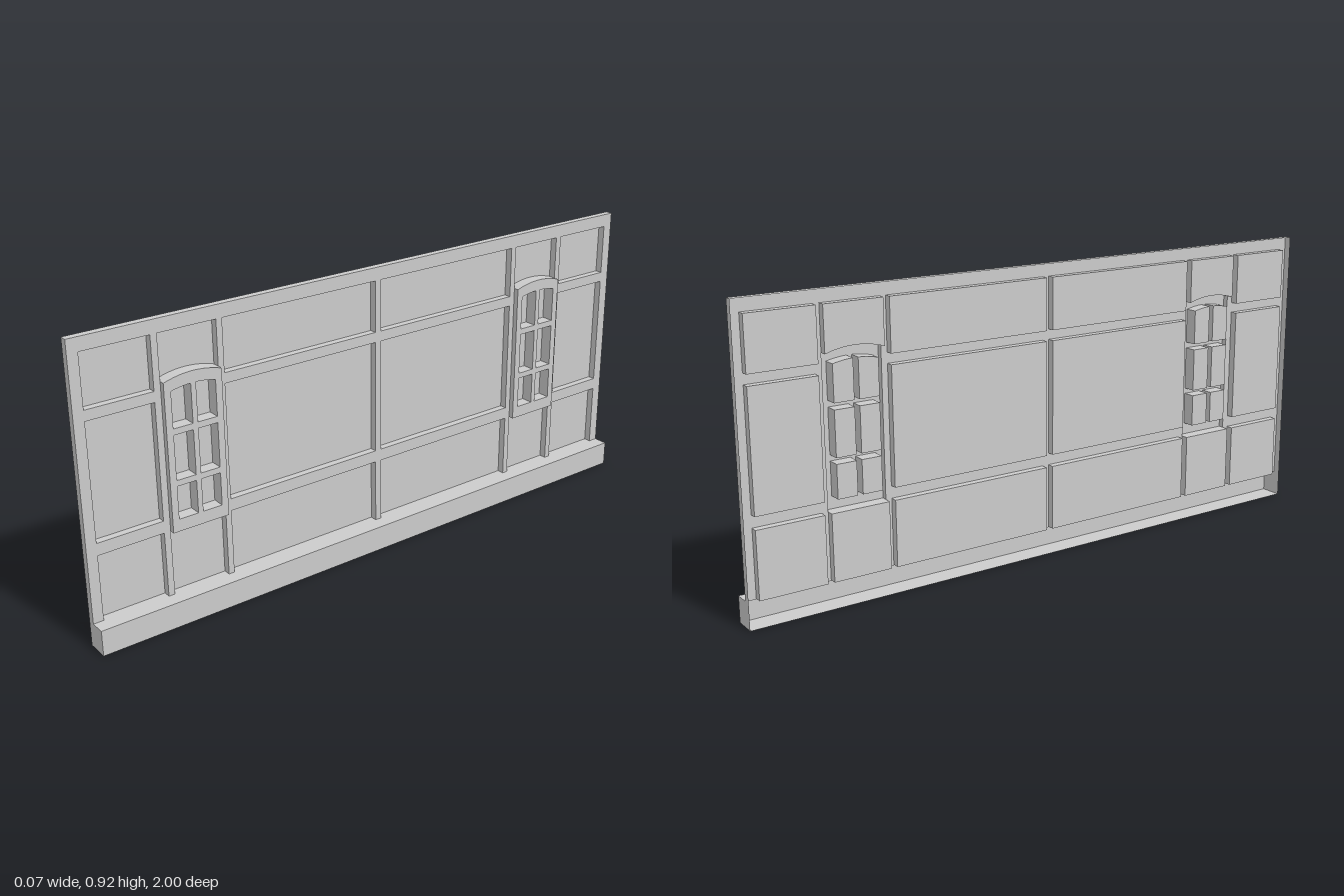
import * as THREE from 'three';

const material = new THREE.MeshStandardMaterial({ color: 0xcccccc, side: THREE.DoubleSide, flatShading: true });

// Depths along x: open back, wall face, window face, skirting face
const BACK = -0.035, WALL = -0.012, WINDOW = 0.005, BASE = 0.035;
const HEIGHT = 0.915, BASE_TOP = 0.08;

// Outlines are drawn as (u, y), with u = -z, counter-clockwise seen from +x
const vec = (u, y) => new THREE.Vector2(u, y);
const rect = (u0, u1, y0, y1) => [vec(u0, y0), vec(u1, y0), vec(u1, y1), vec(u0, y1)];

function add(group, geometry, name) {
  const mesh = new THREE.Mesh(geometry, material);
  mesh.name = name;
  group.add(mesh);
  return mesh;
}

// Flat sheet with openings, standing at depth x
function sheet(outline, holes, x) {
  const shape = new THREE.Shape(outline);
  holes.forEach((h) => shape.holes.push(new THREE.Path(h)));
  return new THREE.ShapeGeometry(shape).translate(0, 0, x).rotateY(Math.PI / 2);
}

// Band of walls following an outline between two depths
function rim(outline, x0, x1) {
  const pos = [];
  outline.forEach((p, i) => {
    const q = outline[(i + 1) % outline.length];
    const a = [p.x, p.y, x0], b = [q.x, q.y, x0], c = [q.x, q.y, x1], d = [p.x, p.y, x1];
    pos.push(...a, ...b, ...c, ...a, ...c, ...d);
  });
  const g = new THREE.BufferGeometry();
  g.setAttribute('position', new THREE.Float32BufferAttribute(pos, 3));
  g.computeVertexNormals();
  return g.rotateY(Math.PI / 2);
}

// Recessed panel: inward-facing walls and a back
function pocket(group, outline, front, name) {
  add(group, rim([...outline].reverse(), BACK, front), name + 'Edges');
  add(group, sheet(outline, [], BACK), name);
}

// Shallow arch used by the window head and its upper panes
const MID = 0.651, HALF = 0.091;
const arch = (u, c) => 0.752 - 0.015 * ((u - c) / HALF) ** 2;
function archLine(u0, u1, c, drop, steps) {
  return Array.from({ length: steps + 1 }, (_, i) => {
    const u = u0 + ((u1 - u0) * i) / steps;
    return vec(u, arch(u, c) - drop);
  });
}

function buildWindow(c) {
  const group = new THREE.Group();
  group.name = 'archedWindow';
  const u0 = c - HALF, u1 = c + HALF;
  const outline = [vec(u0, 0.284), vec(u1, 0.284), ...archLine(u1, u0, c, 0, 12)];
  const panes = [];
  for (const [a, b] of [[c - 0.07, c - 0.008], [c + 0.008, c + 0.07]]) {
    panes.push(rect(a, b, 0.322, 0.424), rect(a, b, 0.442, 0.579));
    panes.push([vec(a, 0.598), vec(b, 0.598), ...archLine(b, a, c, 0.035, 5)]);
  }
  add(group, sheet(outline, panes, WINDOW), 'windowFrame');
  add(group, rim(outline, WALL, WINDOW), 'windowSides');
  panes.forEach((p) => pocket(group, p, WINDOW, 'windowPane'));
  // Panels under and over the window
  pocket(group, rect(u0, u1, BASE_TOP, 0.284), WALL, 'lowerPanel');
  pocket(group, [...archLine(u0, u1, c, 0, 12), vec(u1, 0.874), vec(u0, 0.874)], WALL, 'upperPanel');
  return group;
}

export function createModel() {
  const model = new THREE.Group();
  model.name = 'panelledWall';

  // Panel grid, mirrored about the middle
  const rows = [[BASE_TOP, 0.284], [0.322, 0.681], [0.713, 0.874]];
  const holes = [];
  for (const side of [-1, 1]) {
    for (const [a, b] of [[0.011, 0.541], [0.762, 0.968]]) {
      const u0 = Math.min(a * side, b * side), u1 = Math.max(a * side, b * side);
      for (const [y0, y1] of rows) {
        const outline = rect(u0, u1, y0, y1);
        holes.push(outline);
        pocket(model, outline, WALL, 'wallPanel');
      }
    }
    const c = MID * side;
    holes.push(rect(c - HALF, c + HALF, BASE_TOP, 0.874));
    model.add(buildWindow(c));
  }

  // Stiles and rails between the panels
  add(model, sheet(rect(-1, 1, BASE_TOP - 0.002, HEIGHT), holes, WALL), 'wallFrame');

  // Top edge, skirting faces and underside, as strips along z
  const strip = (xa, ya, xb, yb, name) => {
    const length = Math.hypot(xb - xa, yb - ya);
    const g = new THREE.PlaneGeometry(length, 2).rotateX(-Math.PI / 2);
    g.rotateZ(Math.atan2(yb - ya, xb - xa)).translate((xa + xb) / 2, (ya + yb) / 2, 0);
    add(model, g, name);
  };
  strip(BACK, HEIGHT, WALL, HEIGHT, 'topEdge');
  strip(WALL, BASE_TOP, BASE, BASE_TOP, 'skirtingTop');
  strip(BASE, BASE_TOP, BASE, 0, 'skirtingFront');
  strip(BASE, 0, BACK, 0, 'underside');

  // Stepped end caps
  const profile = new THREE.Shape([
    vec(BACK, 0), vec(BASE, 0), vec(BASE, BASE_TOP),
    vec(WALL, BASE_TOP), vec(WALL, HEIGHT), vec(BACK, HEIGHT),
  ]);
  add(model, new THREE.ShapeGeometry(profile).translate(0, 0, 1), 'endCap');
  const far = new THREE.ShapeGeometry(profile);
  far.index.array.reverse();
  far.computeVertexNormals();
  add(model, far.translate(0, 0, -1), 'endCap');

  return model;
}
